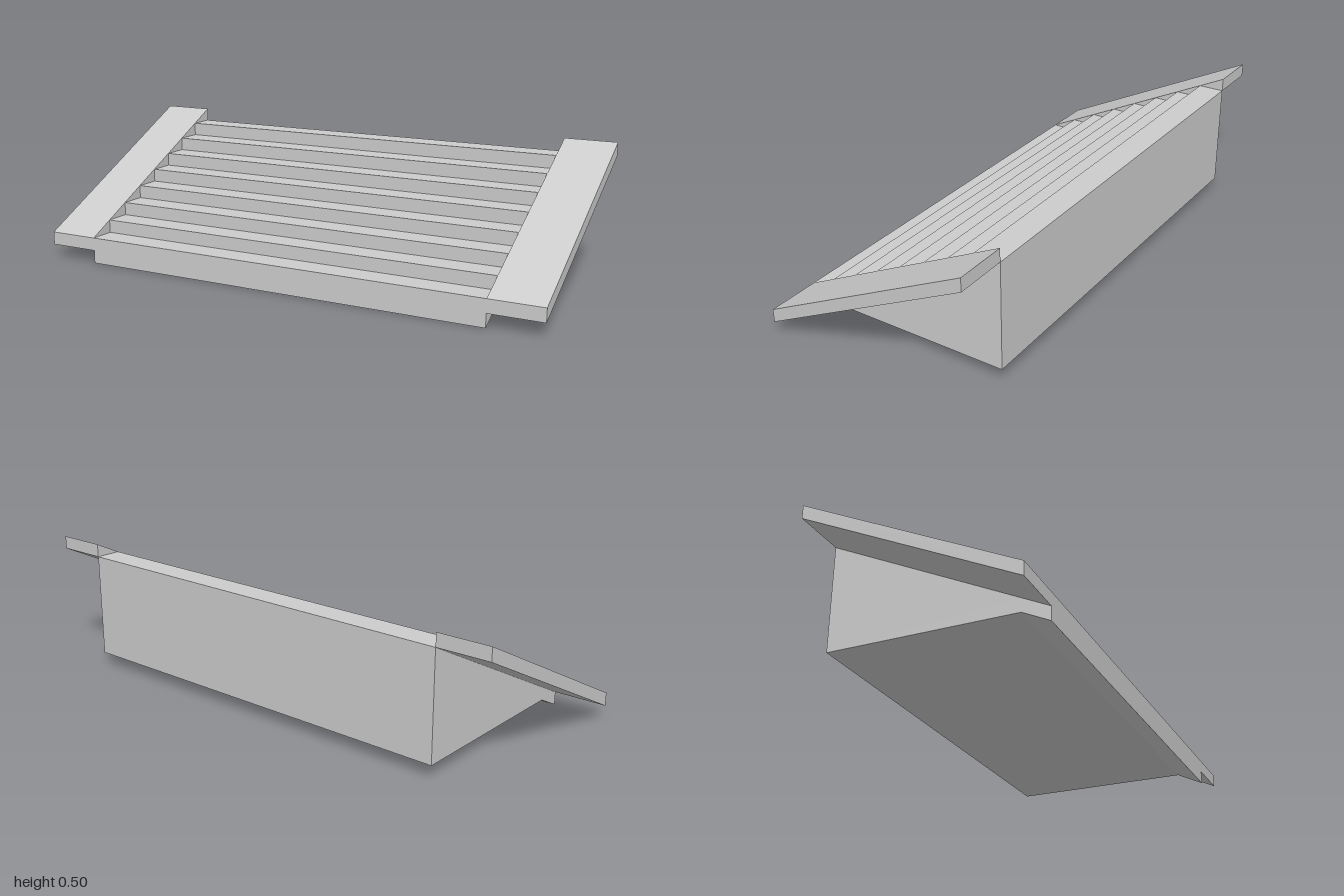
import * as THREE from 'three';

const material = new THREE.MeshStandardMaterial({ color: 0xcccccc, flatShading: true });

// Extrudes a side profile of [z, y] points along x, centred on the given x.
function extrudeProfile(name, points, width, x) {
  const shape = new THREE.Shape(points.map(([z, y]) => new THREE.Vector2(z, y)));
  const geometry = new THREE.ExtrudeGeometry(shape, { depth: width, bevelEnabled: false });
  geometry.translate(0, 0, -width / 2);
  geometry.rotateY(-Math.PI / 2);
  geometry.translate(x, 0, 0);
  const mesh = new THREE.Mesh(geometry, material);
  mesh.name = name;
  return mesh;
}

export function createModel() {
  const group = new THREE.Group();
  group.name = 'staircase';

  const stepCount = 8, depth = 0.1, rise = 0.05;
  const front = 0.4, back = -0.4;

  // Solid flight of steps; the underside drops to the ground under the first step
  const profile = [[back, 0.05], [front - depth, 0.05], [front, 0]];
  for (let i = 0; i < stepCount; i++) {
    const y = 0.1 + i * rise;
    profile.push([front - i * depth, y], [front - (i + 1) * depth, y]);
  }
  group.add(extrudeProfile('steps', profile, 1.6, 0));

  // Sloping side ramps
  const ramp = [[front, 0.05], [front, 0.1], [back, 0.5], [back, 0.45]];
  for (const [name, side] of [['leftRamp', 1], ['rightRamp', -1]]) {
    group.add(extrudeProfile(name, ramp, 0.2, side * 0.9));
  }

  return group;
}
